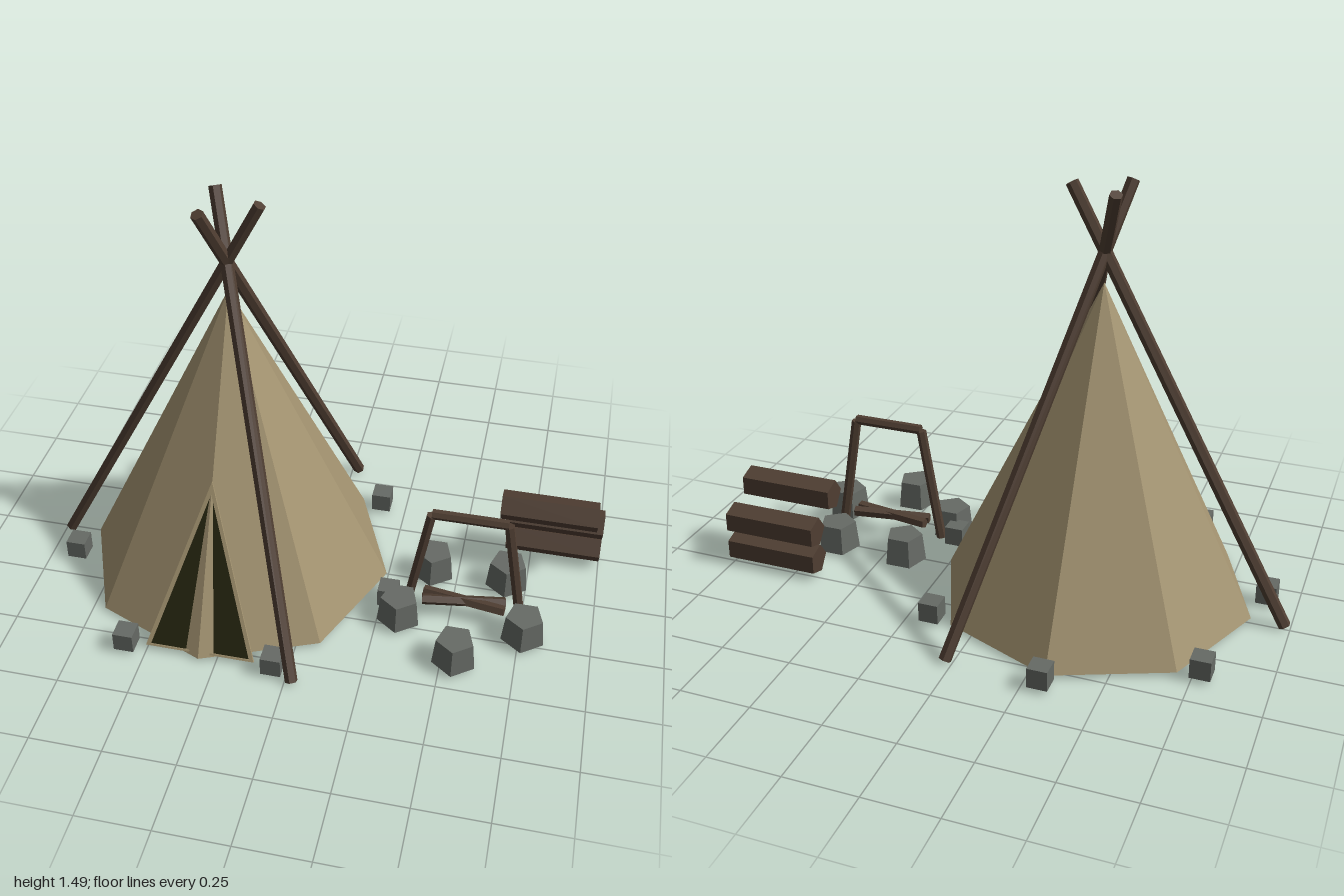
import * as THREE from 'three';

const flat = (name, color) => {
  const m = new THREE.MeshStandardMaterial({ color, flatShading: true });
  m.name = name;
  return m;
};

export function createModel() {
  const model = new THREE.Group();
  model.name = 'campsite';
  const canvas = flat('tan canvas', 0xa39370);
  const wood = flat('brown wood', 0x4f3e32);
  const stone = flat('grey stone', 0x666a65);
  const dark = flat('dark opening', 0x24230f);
  dark.side = THREE.DoubleSide;

  const add = (parent, name, geometry, material, x = 0, y = 0, z = 0) => {
    const mesh = new THREE.Mesh(geometry, material);
    mesh.name = name;
    mesh.position.set(x, y, z);
    parent.add(mesh);
    return mesh;
  };
  const group = (name, x = 0, y = 0, z = 0) => {
    const g = new THREE.Group();
    g.name = name;
    g.position.set(x, y, z);
    model.add(g);
    return g;
  };
  // Straight pole between two points
  const up = new THREE.Vector3(0, 1, 0);
  const rod = (parent, name, from, to, r, sides = 6) => {
    const a = new THREE.Vector3(...from), b = new THREE.Vector3(...to);
    const dir = b.clone().sub(a);
    const mesh = add(parent, name, new THREE.CylinderGeometry(r, r, dir.length(), sides), wood);
    mesh.position.copy(a).add(b).multiplyScalar(0.5);
    mesh.quaternion.setFromUnitVectors(up, dir.normalize());
    return mesh;
  };

  // Tent: eight-sided cover with three crossing poles
  const tent = group('tent', -0.31, 0, 0.01);
  add(tent, 'cover', new THREE.ConeGeometry(0.555, 1.145, 8), canvas, 0, 0.015 + 1.145 / 2, 0);
  for (let i = 0; i < 3; i++) {
    const a = Math.PI + i * Math.PI * 2 / 3;
    const c = Math.cos(a), s = Math.sin(a);
    rod(tent, 'tentPole', [0.67 * c, 0.011, 0.67 * s], [-0.115 * c, 1.48, -0.115 * s], 0.022);
  }

  // Doorway: leaning dark panel with a canvas trim; the cover's ridge pokes through
  const door = new THREE.Group();
  door.name = 'doorway';
  door.position.set(0, 0.02, 0.532);
  door.rotation.x = -Math.atan2(0.249, 0.555);
  tent.add(door);
  const triangle = (Type, w, y0, y1) => {
    const t = new Type();
    t.moveTo(-w, y0);
    t.lineTo(w, y0);
    t.lineTo(0, y1);
    t.closePath();
    return t;
  };
  add(door, 'opening', new THREE.ShapeGeometry(triangle(THREE.Shape, 0.185, 0.003, 0.6)), dark);
  const trim = triangle(THREE.Shape, 0.192, 0, 0.615);
  trim.holes.push(triangle(THREE.Path, 0.175, 0.007, 0.572));
  add(door, 'doorTrim', new THREE.ExtrudeGeometry(trim, { depth: 0.008, bevelEnabled: false }), canvas, 0, 0, -0.003);

  // Seven anchor blocks around the tent
  for (let i = 0; i < 7; i++) {
    const a = Math.PI + i * Math.PI * 2 / 7;
    add(tent, 'anchorBlock', new THREE.BoxGeometry(0.07, 0.07, 0.07), stone, 0.6 * Math.sin(a), 0.052, 0.6 * Math.cos(a));
  }

  // Fire ring of five-sided stones
  const fire = group('campfire', 0.545, 0, 0.15);
  for (let i = 0; i < 5; i++) {
    const a = i * Math.PI * 2 / 5;
    add(fire, 'fireStone', new THREE.CylinderGeometry(0.067, 0.078, 0.103, 5), stone,
      0.23 * Math.sin(a), 0.0665, 0.23 * Math.cos(a));
  }
  // Crossed firewood and the cooking frame
  for (const s of [-1, 1]) {
    rod(fire, 'fireLog', [-0.145, 0.075, -0.022 * s], [0.145, 0.075, 0.022 * s], 0.02, 5);
    rod(fire, 'frameLeg', [s * 0.203, 0.018, 0], [s * 0.132, 0.45, 0], 0.018);
  }
  rod(fire, 'crossbar', [-0.13, 0.455, 0], [0.13, 0.455, 0], 0.018);

  // Stack of five-sided logs
  const pile = group('woodPile');
  for (const [x, y, z] of [[0.828, 0.07, -0.238], [0.828, 0.18, -0.238], [0.802, 0.29, -0.146]]) {
    const log = add(pile, 'stackedLog', new THREE.CylinderGeometry(0.056, 0.056, 0.344, 5), wood, x, y, z);
    log.rotation.z = Math.PI / 2;
  }
  return model;
}
